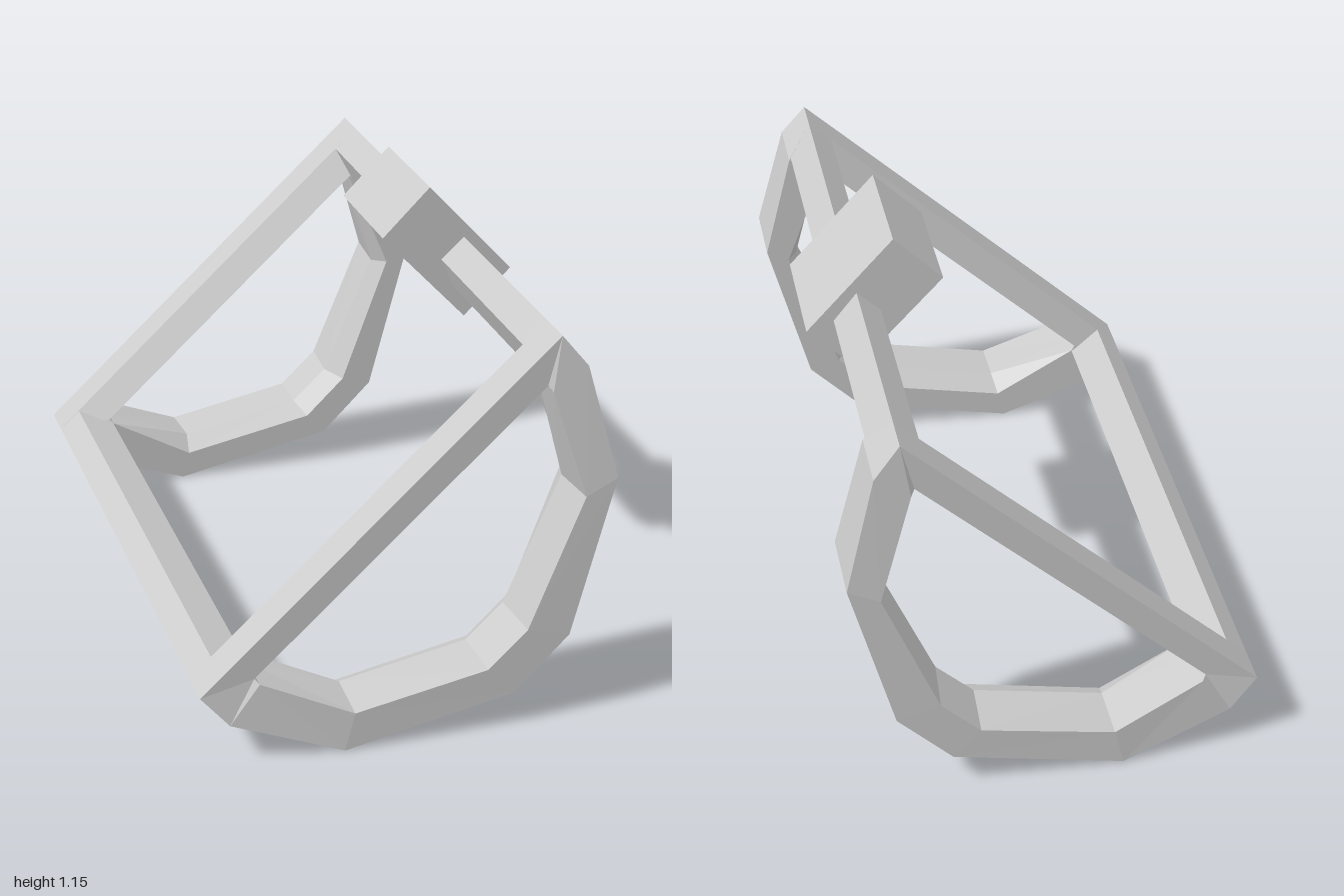
import * as THREE from 'three';

const material = new THREE.MeshStandardMaterial({ color: 0xcccccc, flatShading: true });

// Side profiles as [depth toward the back, height]
const OUTER = [[-0.535, 0.18], [-0.465, 0.10], [-0.185, 0], [0.25, 0.09],
  [0.39, 0.23], [0.50, 0.64], [0.425, 0.93], [0.36, 1.01]];
const HOLE = [[-0.40, 0.212], [-0.39, 0.202], [-0.16, 0.10], [0.18, 0.165],
  [0.28, 0.26], [0.42, 0.60], [0.338, 0.872], [0.328, 0.885]];

// Distance of a profile point behind the sloping front plane
const behind = ([t, y]) => Math.max(0, (0.18 + (t + 0.535) * 0.927 - y) * 0.733);
const mix = (a, b, k) => [a[0] + (b[0] - a[0]) * k, a[1] + (b[1] - a[1]) * k];

// D-shaped ring: one cross-section loop per profile corner, joined in a circle
function sideArch(side) {
  const outerS = (p) => 0.84 + 0.05 * Math.min(1, behind(p) / 0.4);
  const innerS = (p) => 0.74 - 0.055 * Math.min(1, behind(p) / 0.08);
  const rings = OUTER.map((o, i) => {
    const h = HOLE[i];
    const curved = i > 1 && i < 6; // the straight front bar has no ridge
    const lip = mix(o, h, curved ? 0.75 : 1), ridge = mix(o, h, curved ? 1.1 : 1);
    return [[outerS(o), o], [innerS(o), o], [innerS(lip), lip],
      [innerS(lip) + 0.06, ridge], [outerS(o), h]]
      .map(([s, p]) => new THREE.Vector3(side * s, p[1], -p[0]));
  });
  const tris = [];
  const n = rings.length, m = rings[0].length;
  for (let i = 0; i < n; i++) {
    for (let j = 0; j < m; j++) {
      const a = rings[i][j], b = rings[(i + 1) % n][j];
      const c = rings[(i + 1) % n][(j + 1) % m], d = rings[i][(j + 1) % m];
      tris.push([a, b, c], [a, c, d]);
    }
  }
  // A positive enclosed volume means the faces point outward
  const volume = tris.reduce((v, [a, b, c]) => v + a.dot(b.clone().cross(c)), 0);
  const points = tris.flatMap(([a, b, c]) => (volume > 0 ? [a, b, c] : [a, c, b]));
  const geometry = new THREE.BufferGeometry().setFromPoints(points);
  geometry.computeVertexNormals();
  return geometry;
}

// Straight bar running across the width with the given profile
function crossBar(profile, halfWidth) {
  const shape = new THREE.Shape(profile.map(([t, y]) => new THREE.Vector2(t, y)));
  return new THREE.ExtrudeGeometry(shape, { depth: halfWidth * 2, bevelEnabled: false })
    .translate(0, 0, -halfWidth)
    .rotateY(Math.PI / 2);
}

export function createModel() {
  const frame = new THREE.Group();
  frame.name = 'frame';
  const add = (name, geometry) => {
    const mesh = new THREE.Mesh(geometry, material);
    mesh.name = name;
    frame.add(mesh);
  };

  // Side rings
  add('leftArch', sideArch(1));
  add('rightArch', sideArch(-1));

  // Bars joining the rings along the sloping front plane
  add('lowerFrontBar', crossBar([[-0.535, 0.18], [-0.465, 0.105], [-0.39, 0.20], [-0.48, 0.23]], 0.74));
  add('upperBackBar', crossBar([[0.30, 0.954], [0.335, 0.875], [0.42, 0.935], [0.36, 1.01]], 0.74));

  // Tilted block clamped on the upper bar
  add('block', crossBar([[0.14, 1.03], [0.365, 0.79], [0.49, 0.91], [0.265, 1.155]], 0.165));

  // The whole frame stands turned about the vertical
  frame.rotation.y = -0.914;
  const model = new THREE.Group();
  model.name = 'model';
  model.add(frame);
  return model;
}
